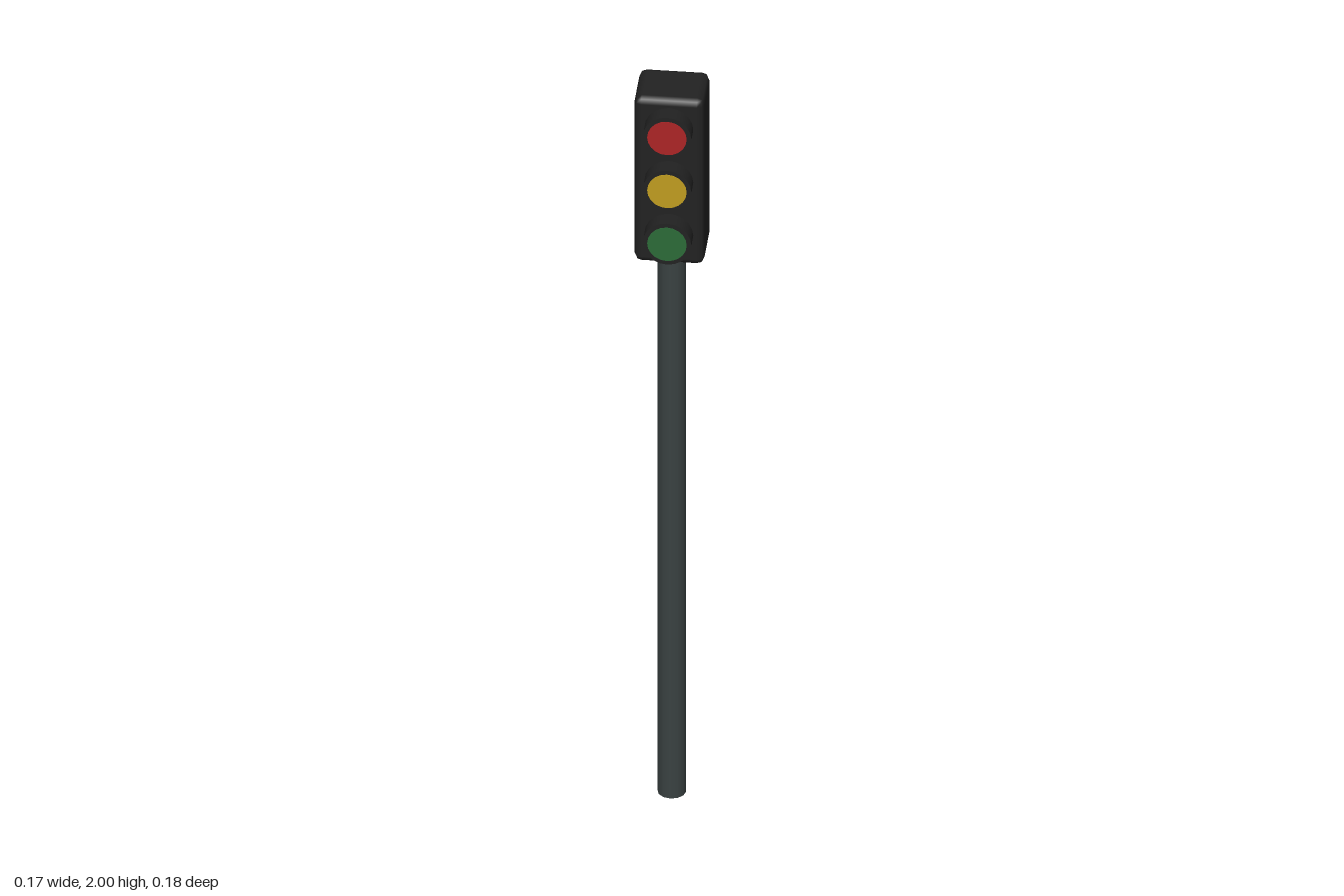
import * as THREE from 'three';
import { RoundedBoxGeometry } from 'three/addons/geometries/RoundedBoxGeometry.js';

const paint = (name, color) => {
  const m = new THREE.MeshStandardMaterial({ color });
  m.name = name;
  return m;
};

export function createModel() {
  const group = new THREE.Group();
  group.name = 'trafficLight';
  const black = paint('housing black', 0x222222);
  const grey = paint('pole grey', 0x3a4242);
  const lamps = [
    ['red', 0xac2426, 1.92],
    ['yellow', 0xc09c20, 1.77],
    ['green', 0x2c6a38, 1.62],
  ];

  const add = (name, geometry, material, x, y, z) => {
    const mesh = new THREE.Mesh(geometry, material);
    mesh.name = name;
    mesh.position.set(x, y, z);
    group.add(mesh);
    return mesh;
  };

  // Pole, running up into the underside of the housing
  add('pole', new THREE.CylinderGeometry(0.034, 0.034, 1.56, 12), grey, 0, 0.78, -0.018);

  // Housing with a single chamfer on every edge
  add('housing', new RoundedBoxGeometry(0.166, 0.465, 0.138, 1, 0.017), black, 0, 1.7675, -0.022);

  // Three round lamp barrels with a coloured lens on the front of each
  const barrel = new THREE.CylinderGeometry(0.058, 0.058, 0.06, 20).rotateX(Math.PI / 2);
  const lens = new THREE.CylinderGeometry(0.047, 0.047, 0.004, 20).rotateX(Math.PI / 2);
  for (const [name, color, y] of lamps) {
    add(name + 'Barrel', barrel, black, 0, y, 0.059);
    add(name + 'Lens', lens, paint(name + ' lens', color), 0, y, 0.0885);
  }
  return group;
}
